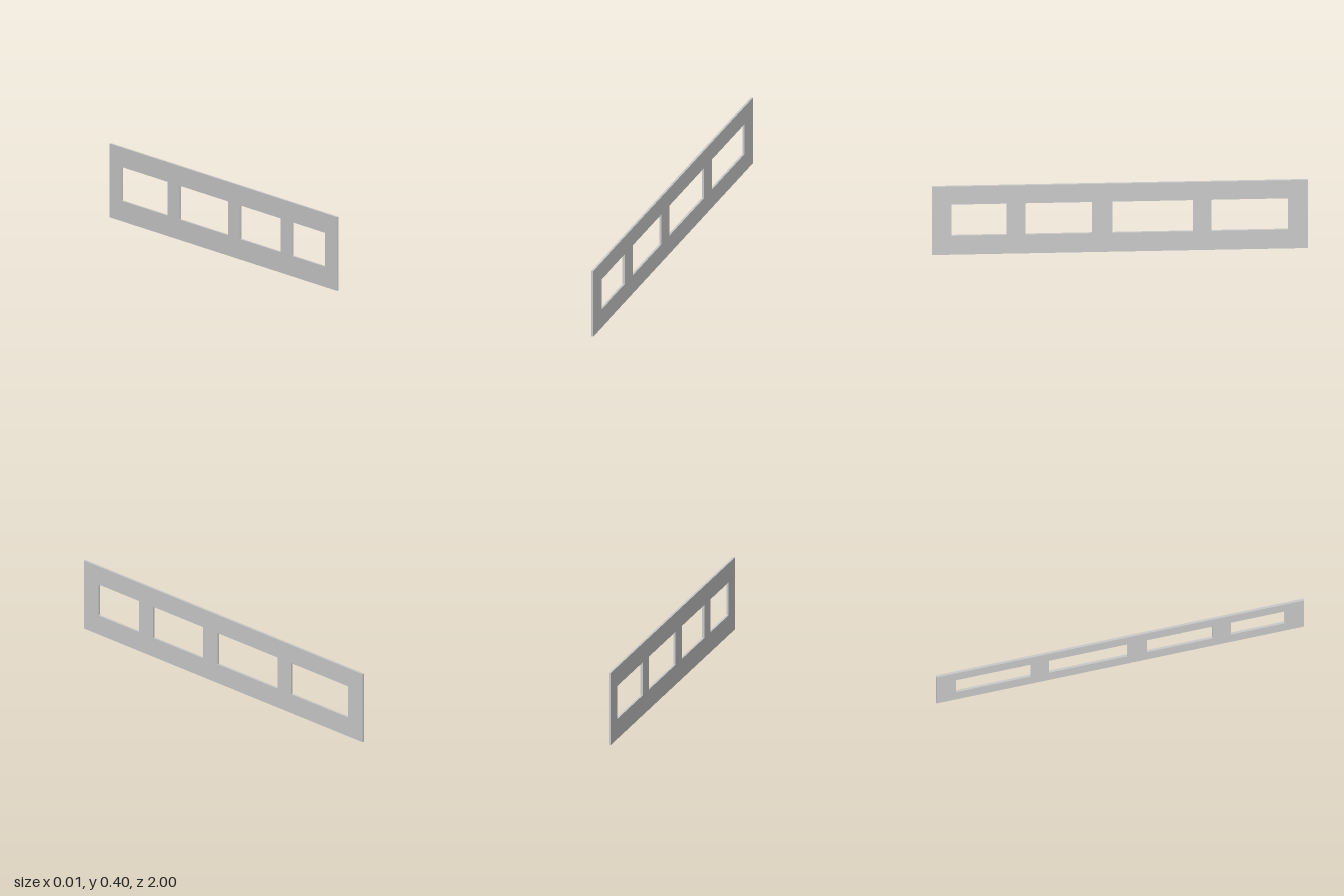
import * as THREE from 'three';

const HEIGHT = 0.404, THICKNESS = 0.012;
const SILL = 0.112, HEAD = 0.297;
// front and rear z of each window opening
const OPENINGS = [[0.896, 0.604], [0.503, 0.145], [0.041, -0.388], [-0.487, -0.894]];

// Rectangle outline; shape x runs towards -z of the model
function rectangle(path, x0, y0, x1, y1) {
  path.moveTo(x0, y0);
  path.lineTo(x1, y0);
  path.lineTo(x1, y1);
  path.lineTo(x0, y1);
  path.closePath();
  return path;
}

export function createModel() {
  const group = new THREE.Group();
  group.name = 'windowPanel';

  // Thin wall with a row of four window openings
  const wall = rectangle(new THREE.Shape(), -1, 0, 1, HEIGHT);
  for (const [front, rear] of OPENINGS) {
    wall.holes.push(rectangle(new THREE.Path(), -front, SILL, -rear, HEAD));
  }

  const geometry = new THREE.ExtrudeGeometry(wall, { depth: THICKNESS, bevelEnabled: false });
  geometry.translate(0, 0, -THICKNESS / 2);
  geometry.rotateY(Math.PI / 2);

  const panel = new THREE.Mesh(geometry, new THREE.MeshStandardMaterial({ color: 0xcccccc }));
  panel.name = 'wallWithWindows';
  group.add(panel);
  return group;
}
